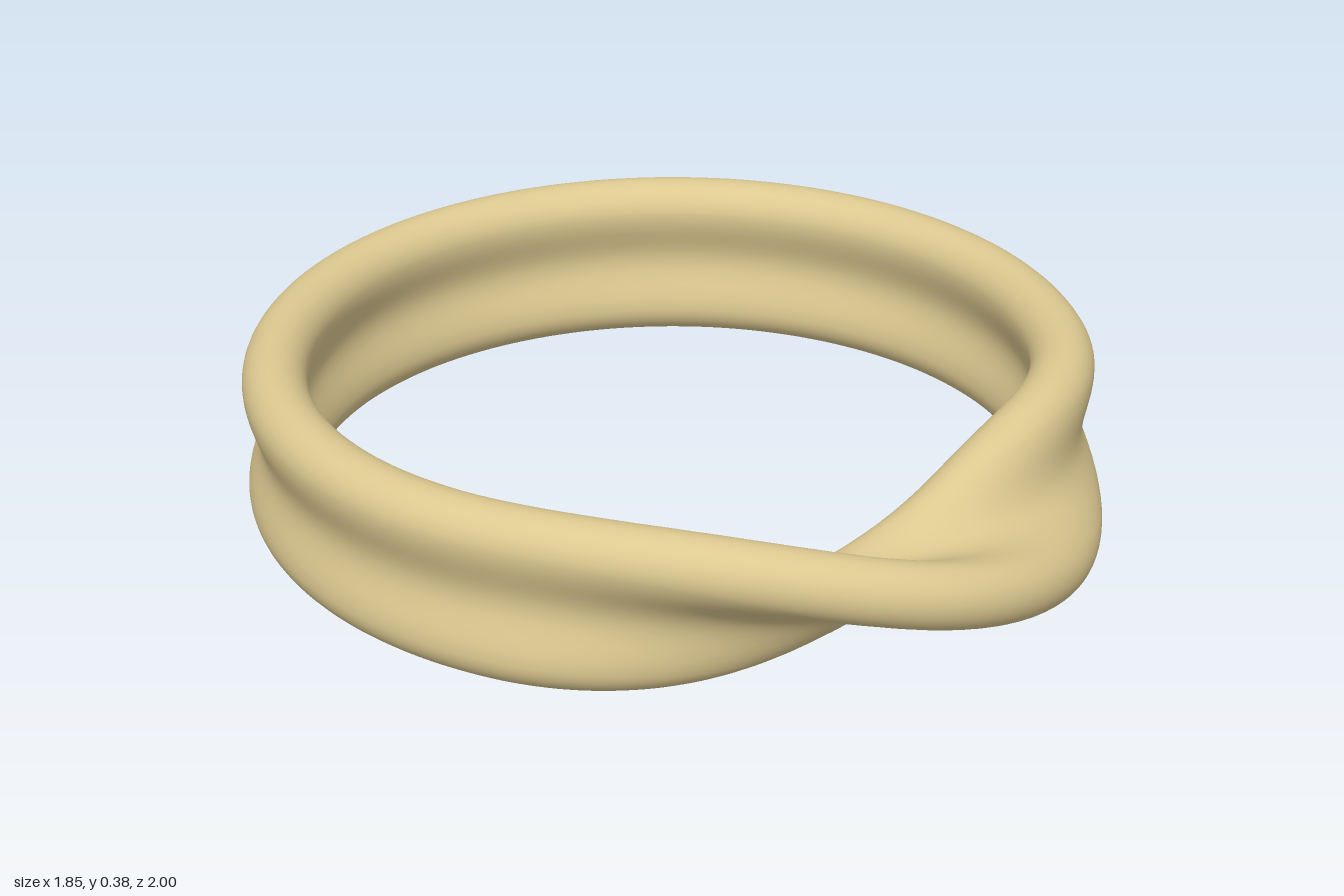
import * as THREE from 'three';

const RADIUS = 0.855, CENTER_Z = -0.075, CENTER_Y = 0.1925;
const RIM = 0.07, RIM_OFFSET = 0.1225, DIP = 0.028;
const TWIST_SPAN = Math.PI / 3;

// Half of the band's section: a hollowed side, then a rounded rim. The other half is its point reflection.
function sectionPoints() {
  const half = [];
  const sideSteps = 16, rimSteps = 20;
  for (let i = 0; i < sideSteps; i++) {
    const b = RIM_OFFSET * (2 * i / sideSteps - 1);
    half.push([RIM - DIP * Math.cos(Math.PI / 2 * b / RIM_OFFSET) ** 2, b]);
  }
  for (let i = 0; i < rimSteps; i++) {
    const t = Math.PI * i / rimSteps;
    half.push([RIM * Math.cos(t), RIM_OFFSET + RIM * Math.sin(t)]);
  }
  return [...half, ...half.map(([a, b]) => [-a, -b])];
}

// Section tilt: upright around the back, with a half turn spread over the front
function tilt(theta) {
  const u = THREE.MathUtils.clamp(theta / TWIST_SPAN, -1, 1);
  return Math.PI / 2 * (1 + Math.sin(u * Math.PI / 2));
}

function twistedBand(steps) {
  const section = sectionPoints(), n = section.length;
  const positions = [], indices = [];
  for (let i = 0; i < steps; i++) {
    const theta = -Math.PI + 2 * Math.PI * i / steps;
    const alpha = tilt(theta), s = Math.sin(alpha), c = Math.cos(alpha);
    // The band swells outward slightly and narrows at the crossing
    const bump = Math.exp(-((theta / 0.34) ** 2));
    for (const [a, b0] of section) {
      const b = b0 * (1 - 0.055 * bump);
      const r = RADIUS + 0.034 * bump + a * c + b * s;
      positions.push(r * Math.sin(theta), CENTER_Y - a * s + b * c, CENTER_Z + r * Math.cos(theta));
    }
  }
  // The last ring joins the first half a section round, closing the one-sided loop
  for (let i = 0; i < steps; i++) {
    const last = i === steps - 1;
    const next = last ? 0 : (i + 1) * n, shift = last ? n / 2 : 0;
    for (let j = 0; j < n; j++) {
      const k = (j + 1) % n;
      const p = i * n + j, q = i * n + k;
      const pn = next + (j + shift) % n, qn = next + (k + shift) % n;
      indices.push(p, pn, q, q, pn, qn);
    }
  }
  const geometry = new THREE.BufferGeometry();
  geometry.setAttribute('position', new THREE.Float32BufferAttribute(positions, 3));
  geometry.setIndex(indices);
  geometry.computeVertexNormals();
  return geometry;
}

export function createModel() {
  const group = new THREE.Group();
  group.name = 'twistedRing';
  const band = new THREE.Mesh(twistedBand(288), new THREE.MeshStandardMaterial({ color: 0xdcc890 }));
  band.name = 'band';
  group.add(band);
  return group;
}
